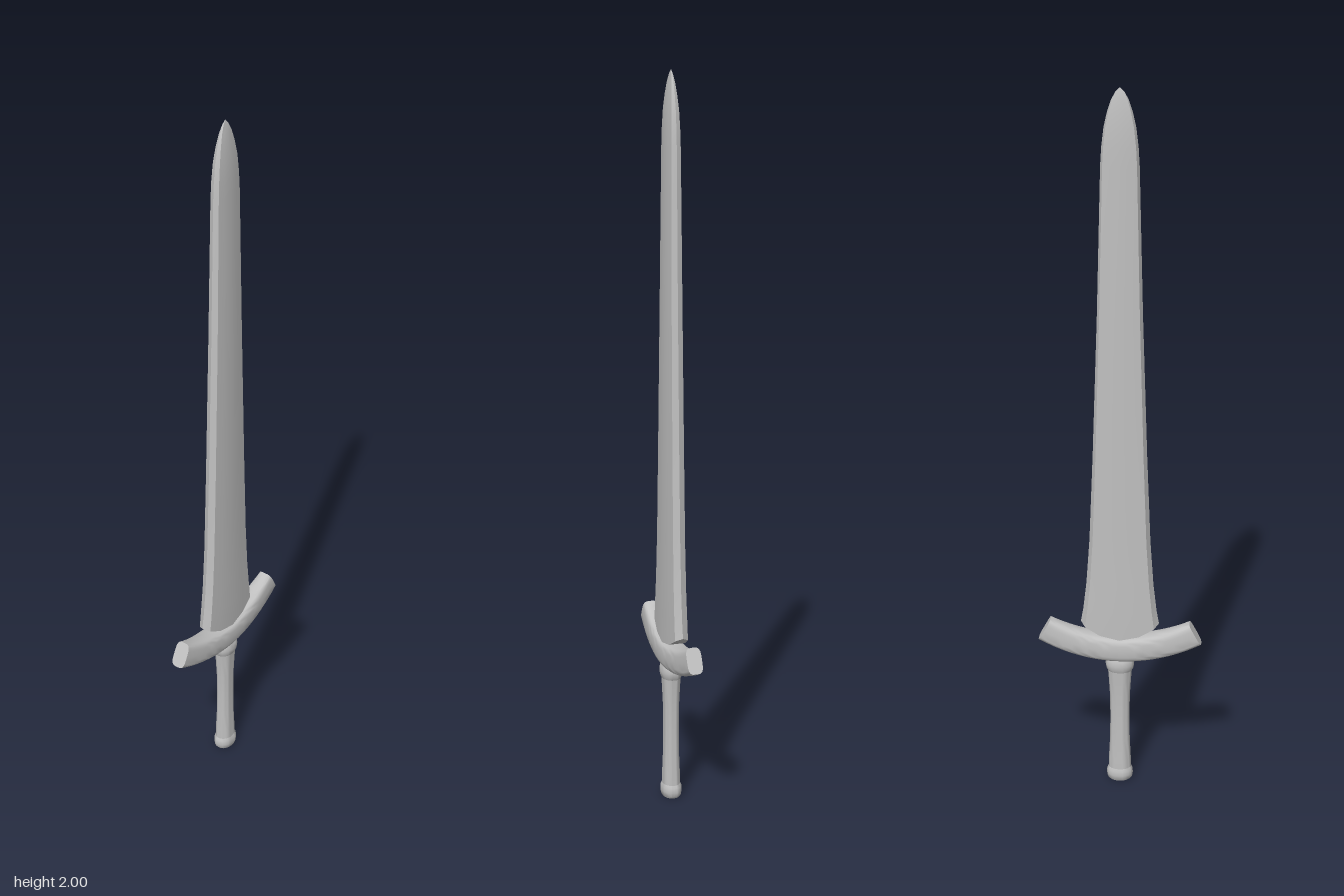
import * as THREE from 'three';
import { toCreasedNormals } from 'three/addons/utils/BufferGeometryUtils.js';

// Skins a list of equal-length rings (counter-clockwise seen from the far end) and caps both ends.
function loft(rings, crease) {
  const pos = [];
  const tri = (...pts) => pts.forEach((p) => pos.push(p.x, p.y, p.z));
  const n = rings[0].length;
  for (let r = 0; r < rings.length - 1; r++) {
    const a = rings[r], b = rings[r + 1];
    for (let i = 0; i < n; i++) {
      const j = (i + 1) % n;
      tri(a[i], a[j], b[j]);
      tri(a[i], b[j], b[i]);
    }
  }
  // pair points straight across each end so a curved end stays curved
  const cap = (ring, flip) => {
    for (let i = 0; i < n / 2; i++) {
      const a = ring[i], b = ring[i + 1], c = ring[(n - i - 1) % n], d = ring[(n - i) % n];
      if (flip) { tri(a, c, b); tri(a, d, c); } else { tri(a, b, c); tri(a, c, d); }
    }
  };
  cap(rings[0], true);
  cap(rings[rings.length - 1], false);
  const g = new THREE.BufferGeometry();
  g.setAttribute('position', new THREE.Float32BufferAttribute(pos, 3));
  return toCreasedNormals(g, crease);
}

// Blade: ridged section with bevelled edges, following height / half width / half thickness
function bladeGeometry() {
  const profile = [
    [0.5, 0.108, 0.026], [0.54, 0.101, 0.026], [0.62, 0.092, 0.025], [0.75, 0.083, 0.024],
    [1.0, 0.073, 0.023], [1.4, 0.06, 0.021], [1.8, 0.05, 0.018], [1.85, 0.047, 0.017],
    [1.9, 0.041, 0.015], [1.94, 0.032, 0.011], [1.97, 0.022, 0.007], [1.99, 0.011, 0.003],
    [2.0, 0.001, 0.0005],
  ];
  const quarter = [[1, 0], [0.88, 0.7], [0.5, 0.88], [0, 1]];
  const section = [
    ...quarter,
    ...quarter.slice(0, 3).reverse().map(([x, z]) => [-x, z]),
    ...quarter.slice(1).map(([x, z]) => [-x, -z]),
    ...quarter.slice(1, 3).reverse().map(([x, z]) => [x, -z]),
  ];
  const rings = profile.map(([y, w, t], k) => section.map(([x, z]) => {
    const dip = k === 0 ? 0.045 * (1 - x * x) : 0; // rounded heel of the blade
    return new THREE.Vector3(x * w, y - dip, -z * t);
  }));
  return loft(rings, 0.5);
}

// Crossguard: rounded bar bent upward along an arc and thinned toward its ends
function guardGeometry() {
  const rings = [], steps = 20, sides = 24, R = 0.443, bend = 0.49;
  const soft = (v) => Math.sign(v) * Math.abs(v) ** 0.55;
  for (let s = 0; s <= steps; s++) {
    const u = (s / steps) * 2 - 1, a = u * bend;
    const halfZ = 0.035 - 0.014 * Math.abs(u) ** 1.5;
    const ring = [];
    for (let i = 0; i < sides; i++) {
      const t = (i / sides) * Math.PI * 2;
      const r = R - 0.036 * soft(Math.sin(t));
      ring.push(new THREE.Vector3(Math.sin(a) * r, 0.422 + R - Math.cos(a) * r, -halfZ * soft(Math.cos(t))));
    }
    rings.push(ring);
  }
  return loft(rings, 0.7);
}

// Turned parts of the handle, slightly flattened front to back
function turned(points) {
  const g = new THREE.LatheGeometry(points.map(([r, y]) => new THREE.Vector2(r, y)), 24);
  g.scale(1, 1, 0.78);
  return toCreasedNormals(g.toNonIndexed(), 0.7);
}

export function createModel() {
  const group = new THREE.Group();
  const steel = new THREE.MeshStandardMaterial({ color: 0xc0c0c0 });
  steel.name = 'grey steel';
  const add = (name, geometry) => {
    const mesh = new THREE.Mesh(geometry, steel);
    mesh.name = name;
    group.add(mesh);
  };

  add('blade', bladeGeometry());
  add('crossguard', guardGeometry());
  add('grip', turned([
    [0.032, 0.03], [0.031, 0.07], [0.028, 0.13], [0.027, 0.2], [0.028, 0.27], [0.031, 0.32], [0.034, 0.36],
  ]));
  add('collar', turned([
    [0, 0.352], [0.034, 0.352], [0.038, 0.36], [0.04, 0.372], [0.038, 0.386], [0.03, 0.4], [0, 0.4],
  ]));
  add('pommel', turned([
    [0, 0], [0.03, 0], [0.035, 0.006], [0.037, 0.018], [0.036, 0.03], [0.031, 0.04], [0, 0.042],
  ]));
  return group;
}
